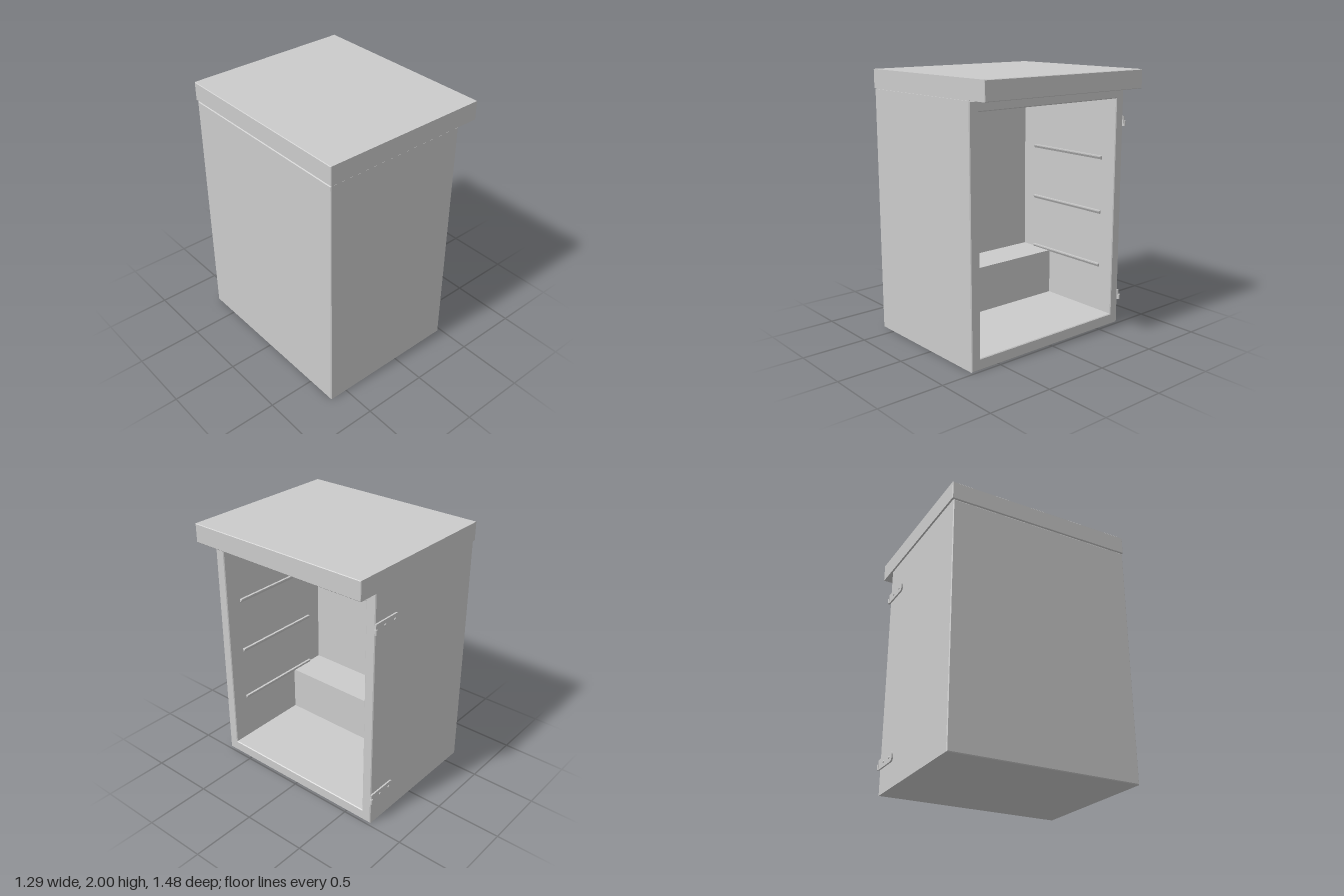
import * as THREE from 'three';

const mat = new THREE.MeshStandardMaterial({ color: 0xcccccc });

function add(parent, name, geo) {
  const m = new THREE.Mesh(geo, mat);
  m.name = name;
  parent.add(m);
  return m;
}

// box given by its limits on each axis
function box(parent, name, [x0, x1], [y0, y1], [z0, z1]) {
  const m = add(parent, name, new THREE.BoxGeometry(x1 - x0, y1 - y0, z1 - z0));
  m.position.set((x0 + x1) / 2, (y0 + y1) / 2, (z0 + z1) / 2);
  return m;
}

function rect(Type, x0, y0, x1, y1) {
  return new Type([[x0, y0], [x1, y0], [x1, y1], [x0, y1]].map(p => new THREE.Vector2(...p)));
}

// shape drawn in (-z, y), extruded along x from x0 to x1 with a tiny chamfer
function extrudeX(shape, x0, x1, b) {
  const g = new THREE.ExtrudeGeometry(shape, {
    depth: x1 - x0 - 2 * b, bevelEnabled: true, bevelThickness: b, bevelSize: b,
    bevelOffset: -b, bevelSegments: 1,
  });
  g.rotateY(Math.PI / 2);
  g.translate(x0 + b, 0, 0);
  return g;
}

const B = 0.006;
const BACK = -0.643, FRONT = 0.48;           // cabinet extent in x, open at +x
const Y0 = 0.085, Y1 = 1.78;                 // opening height
const ZA = -0.645, ZB = 0.66;                // opening width

// hinge plate with rounded end, screws and pin, on the -z wall
function hinge(y) {
  const g = new THREE.Group();
  g.name = 'hinge';
  const r = 0.038, plate = new THREE.Shape();
  plate.moveTo(0.485, -r);
  plate.lineTo(0.485, r);
  plate.lineTo(0.265, r);
  plate.absarc(0.265, r - 0.03, 0.03, Math.PI / 2, Math.PI, false);
  plate.absarc(0.265, -r + 0.03, 0.03, Math.PI, Math.PI * 1.5, false);
  const pg = new THREE.ExtrudeGeometry(plate, { depth: 0.012, bevelEnabled: false });
  pg.translate(0, 0, -0.733);
  add(g, 'hingePlate', pg);
  for (const x of [0.285, 0.39]) {
    const screw = add(g, 'screw', new THREE.CylinderGeometry(0.008, 0.011, 0.006, 16));
    screw.rotation.x = -Math.PI / 2;
    screw.position.set(x, 0, -0.735);
  }
  const pin = add(g, 'hingePin', new THREE.CylinderGeometry(0.01, 0.01, 0.04, 20));
  pin.position.set(0.485, -0.018, -0.732);
  g.position.y = y;
  return g;
}

// shelf rail: flat top, tapered underside, on the wall at z, pointing in by dir
function rail(parent, y, z, dir) {
  const pts = [[-0.004, 0.014], [0.018, 0.014], [0.018, 0.004], [0.008, -0.014], [-0.004, -0.014]];
  const s = new THREE.Shape(pts.map(([u, v]) => new THREE.Vector2(-(z + dir * u), y + v)));
  add(parent, 'shelfRail', extrudeX(s, -0.41, 0.35, 0.003));
}

export function createModel() {
  const model = new THREE.Group();
  model.name = 'cabinet';

  // four walls around the opening
  const shell = rect(THREE.Shape, -0.737, 0, 0.721, 1.855);
  shell.holes.push(rect(THREE.Path, -ZB, Y0, -ZA, Y1));
  add(model, 'cabinetWalls', extrudeX(shell, BACK, FRONT, B));

  // closed wall opposite the opening
  box(model, 'backWall', [BACK, -0.535], [Y0 - B, Y1 + B], [ZA - B, ZB + B]);

  // raised step inside at the bottom
  box(model, 'innerStep', [-0.54, -0.22], [Y0 - 0.01, 0.45], [ZA - 0.005, ZB + 0.005]);

  // overhanging top, with a narrow shadow gap below it
  box(model, 'topGap', [BACK + 0.008, FRONT - 0.008], [1.85, 1.87], [-0.713, 0.729]);
  add(model, 'topSlab', extrudeX(rect(THREE.Shape, -0.742, 1.86, 0.732, 2), -0.647, 0.645, 0.004));

  // three pairs of shelf rails
  for (const y of [0.458, 0.888, 1.318]) {
    rail(model, y, ZA, 1);
    rail(model, y, ZB, -1);
  }

  for (const y of [0.229, 1.605]) model.add(hinge(y));
  return model;
}
